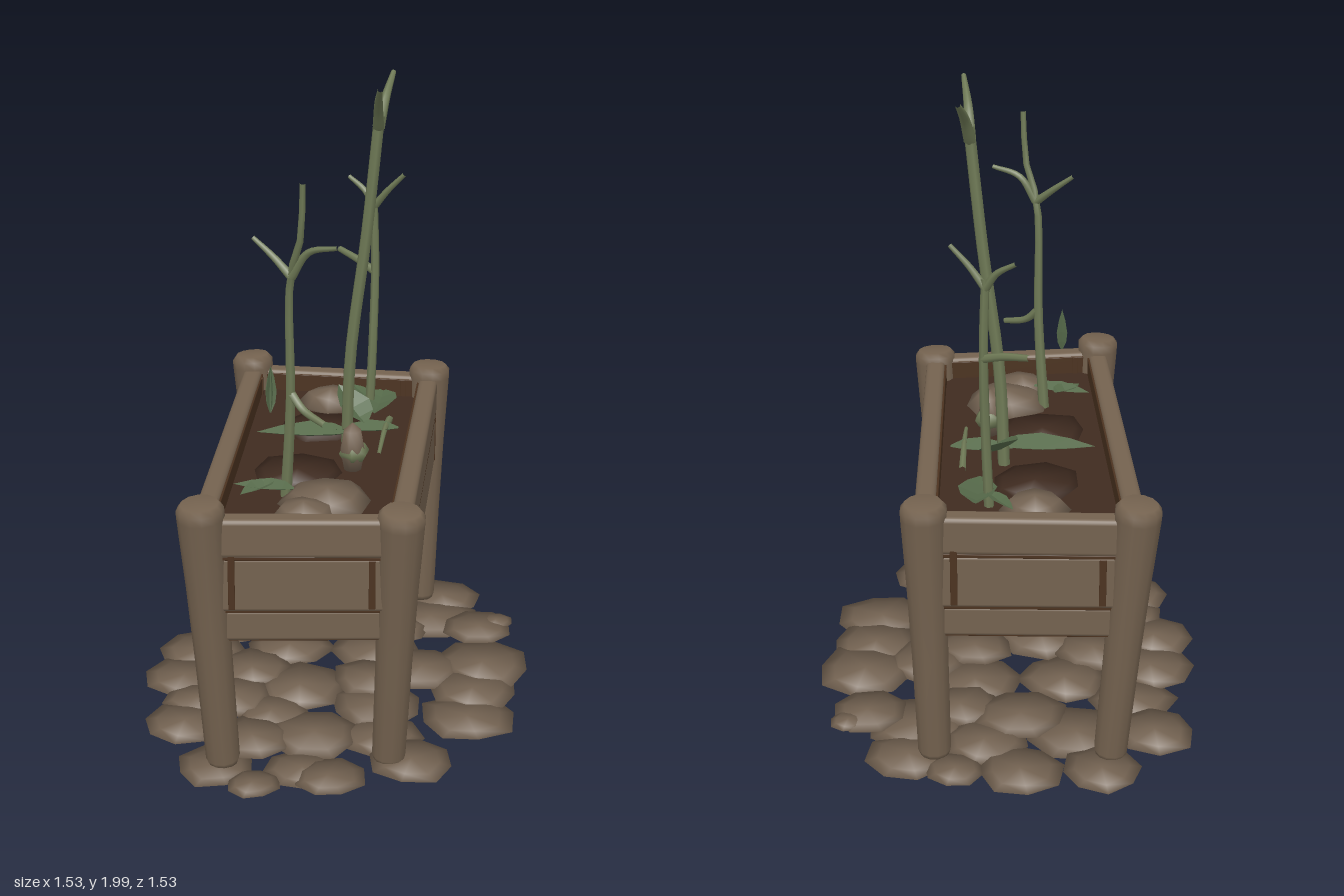
import * as THREE from 'three';
import { RoundedBoxGeometry } from 'three/addons/geometries/RoundedBoxGeometry.js';

const V = (x, y, z) => new THREE.Vector3(x, y, z);
const mat = (name, color, side = THREE.FrontSide) => {
  const m = new THREE.MeshStandardMaterial({ color, side });
  m.name = name;
  return m;
};

export function createModel() {
  const model = new THREE.Group();
  const wood = mat('weathered wood', 0x74624f);
  const stone = mat('stone', 0x746352);
  const bark = mat('dark wood edge', 0x4c3320);
  const soilMat = mat('soil', 0x3f2b20);
  const stemMat = mat('stem green', 0x6f7a56);
  const leafMat = mat('leaf green', 0x566a4a, THREE.DoubleSide);

  const add = (name, geometry, material, parent = model) => {
    const mesh = new THREE.Mesh(geometry, material);
    mesh.name = name;
    parent.add(mesh);
    return mesh;
  };
  const group = (name) => {
    const g = new THREE.Group();
    g.name = name;
    model.add(g);
    return g;
  };
  let seed = 7;
  const rand = () => (seed = (seed * 16807) % 2147483647) / 2147483647;

  // Corner posts, leaning outwards: back, right, front, left
  const posts = [
    [V(-0.22, 0.02, -0.575), V(-0.23, 0.9, -0.61)],
    [V(-0.605, 0.02, -0.19), V(-0.68, 0.905, -0.17)],
    [V(0.285, 0.02, 0.62), V(0.305, 0.905, 0.695)],
    [V(0.575, 0.02, 0.205), V(0.66, 0.885, 0.235)],
  ];
  const corner = (i, y) => {
    const [a, b] = posts[i % 4];
    return a.clone().lerp(b, (y - a.y) / (b.y - a.y));
  };
  const postGroup = group('posts');
  const postProfile = [[0, 0], [0.046, 0], [0.052, 0.02], [0.056, 0.4], [0.062, 0.7], [0.07, 0.95], [0.07, 0.98], [0.056, 1], [0, 1]];
  for (const [a, b] of posts) {
    const h = a.distanceTo(b);
    const g = new THREE.LatheGeometry(postProfile.map(([r, t]) => new THREE.Vector2(r, t * h)), 12);
    const post = add('post', g, wood, postGroup);
    post.position.copy(a);
    post.quaternion.setFromUnitVectors(V(0, 1, 0), b.clone().sub(a).normalize());
  }

  // Boards between neighbouring posts, from fraction t0 to t1, shifted inwards by inset
  const plankGroup = group('planks');
  const board = (name, i, y0, y1, thick, material, { round = 0.002, t0 = 0, t1 = 1, inset = 0, tilt = 0 } = {}) => {
    const y = (y0 + y1) / 2, a = corner(i, y), b = corner(i + 1, y);
    const inward = V(b.z - a.z, 0, a.x - b.x).normalize();
    const g = new RoundedBoxGeometry(a.distanceTo(b) * (t1 - t0), y1 - y0, thick, 2, round);
    const mesh = add(name, g, material, plankGroup);
    mesh.position.copy(a).lerp(b, (t0 + t1) / 2).addScaledVector(inward, inset);
    mesh.rotation.y = -Math.atan2(b.z - a.z, b.x - a.x);
    mesh.rotation.z = tilt;
  };
  for (let i = 0; i < 4; i++) {
    const isEnd = i % 2 === 0;
    const bottom = isEnd ? 0.46 : 0.562;
    const t = isEnd ? 0.12 : 0.058, w = isEnd ? 0.035 : 0.014;
    const tilt = () => (rand() - 0.5) * 0.008;
    board('upperPlank', i, 0.74, 0.862, 0.064, wood, { round: 0.016, tilt: tilt() });
    board('middlePlank', i, 0.565, 0.738, 0.066, wood, { round: 0.012, tilt: tilt() });
    board('gapStrip', i, 0.733, 0.745, 0.064, bark);
    // The short ends hang one plank lower
    if (isEnd) {
      board('lowerPlank', i, 0.462, 0.562, 0.056, wood, { round: 0.012 });
      board('lowerGapStrip', i, 0.557, 0.572, 0.06, bark);
    }
    // Dark bark along the bottom, the plank ends and the inner rim
    board('bottomEdge', i, bottom, bottom + 0.01, isEnd ? 0.05 : 0.064, bark);
    board('plankEnd', i, 0.575, 0.85, 0.07, bark, { t0: t, t1: t + w });
    board('plankEnd', i, 0.575, 0.73, 0.07, bark, { t0: 1 - t - w, t1: 1 - t });
    board('innerRim', i, 0.78, 0.85, 0.008, bark, { inset: 0.034 });
  }

  // Floor board and soil fill the frame
  const slab = (name, top, depth, material) => {
    const shape = new THREE.Shape(posts.map((_, i) => {
      const p = corner(i, top);
      return new THREE.Vector2(p.x * 0.98, p.z * 0.98);
    }));
    const g = new THREE.ExtrudeGeometry(shape, { depth, bevelEnabled: false });
    g.rotateX(Math.PI / 2).translate(0, top, 0);
    add(name, g, material);
  };
  slab('floorBoard', 0.61, 0.042, wood);
  slab('soil', 0.79, 0.18, soilMat);

  // Low-poly pebble with an uneven outline
  const pebble = (name, x, y, z, r, h, material, parent, sides = 8) => {
    const g = new THREE.SphereGeometry(1, sides, 4);
    const wobble = Array.from({ length: sides }, () => 0.92 + rand() * 0.2);
    wobble.push(wobble[0]);
    const p = g.attributes.position;
    for (let i = 0; i < p.count; i++) {
      const w = wobble[i % (sides + 1)] * r;
      p.setXYZ(i, p.getX(i) * w, p.getY(i) * h, p.getZ(i) * w);
    }
    const m = add(name, g, material, parent);
    m.position.set(x, y, z);
    m.rotation.y = rand() * 6;
    return m;
  };

  // Paving of flat stones: outer ring first, then the stones under the planter
  const paving = group('paving');
  [[-0.17, -0.64, 0.13], [-0.47, -0.45, 0.13], [-0.645, -0.27, 0.12], [-0.62, 0, 0.13], [-0.44, 0.09, 0.14],
    [-0.35, 0.28, 0.15], [-0.23, 0.43, 0.13], [0.02, 0.59, 0.13], [0.29, 0.65, 0.12], [0.44, 0.62, 0.08],
    [0.55, 0.42, 0.11], [0.63, 0.16, 0.13], [0.53, -0.15, 0.15], [0.41, -0.28, 0.15], [0.3, -0.42, 0.16],
    [0.1, -0.58, 0.12], [-0.07, -0.5, 0.16], [-0.33, -0.59, 0.09], [0.2, -0.24, 0.14], [0.1, -0.66, 0.06],
    [-0.2, 0.02, 0.15], [0.05, 0.16, 0.15], [0.32, 0.3, 0.15], [-0.26, -0.24, 0.15], [0, -0.2, 0.15],
    [0.3, 0.03, 0.15], [-0.03, 0.37, 0.14], [0.22, 0.47, 0.13], [-0.45, -0.18, 0.15], [-0.28, -0.42, 0.13],
    [-0.14, 0.22, 0.13], [0.15, -0.06, 0.13], [0.45, 0.14, 0.13], [0.13, 0.33, 0.12], [-0.08, -0.34, 0.13],
    [-0.08, 0.48, 0.11], [0.46, 0.45, 0.11],
  ].forEach(([x, z, r], i) => pebble('pavingStone', x, 0.013 + (i % 4) * 0.002, z, r, 0.009, stone, paving));

  // Mounds and rocks lying on the soil
  const bed = group('soilBed');
  [[-0.2, -0.12, 0.16], [0.06, 0.17, 0.16]]
    .forEach(([x, z, r]) => pebble('soilMound', x, 0.786, z, r, 0.014, soilMat, bed));
  pebble('rock', -0.35, 0.8, -0.27, 0.1, 0.05, stone, bed);
  pebble('rock', 0.31, 0.79, 0.24, 0.14, 0.05, stone, bed);
  pebble('rock', 0.35, 0.79, 0.36, 0.1, 0.05, stone, bed);
  pebble('uprightStone', 0.155, 0.86, 0.025, 0.04, 0.09, stone, bed);

  // Tapered stem swept along a curve
  const plants = group('plants');
  const stem = (name, pts, r0, r1) => {
    const curve = new THREE.CatmullRomCurve3(pts.map((p) => V(...p)));
    const n = 12, sides = 6;
    const g = new THREE.TubeGeometry(curve, n, 1, sides, false);
    const p = g.attributes.position;
    for (let i = 0; i < p.count; i++) {
      const t = Math.floor(i / (sides + 1)) / n, c = curve.getPointAt(t);
      const v = V(0, 0, 0).fromBufferAttribute(p, i).sub(c).multiplyScalar(r0 + (r1 - r0) * t).add(c);
      p.setXYZ(i, v.x, v.y, v.z);
    }
    add(name, g, stemMat, plants);
  };
  // Tall middle plant
  stem('tallStem', [[-0.04, 0.76, -0.1], [-0.02, 1.1, -0.1], [0.02, 1.5, -0.13], [0.055, 1.88, -0.15]], 0.02, 0.018);
  stem('tallFork', [[0.05, 1.84, -0.15], [0.02, 1.92, -0.2], [-0.04, 1.985, -0.28]], 0.02, 0.008);
  stem('tallFork', [[0.05, 1.84, -0.15], [0.1, 1.92, -0.11], [0.195, 1.992, -0.04]], 0.02, 0.008);
  // Plant at the back
  stem('backStem', [[-0.22, 0.76, -0.335], [-0.215, 1.05, -0.345], [-0.225, 1.3, -0.36], [-0.235, 1.53, -0.36]], 0.016, 0.013);
  stem('backTwig', [[-0.235, 1.5, -0.36], [-0.27, 1.55, -0.35], [-0.33, 1.59, -0.33]], 0.013, 0.007);
  stem('backTwig', [[-0.235, 1.5, -0.36], [-0.19, 1.56, -0.38], [-0.14, 1.62, -0.41]], 0.013, 0.007);
  stem('backTwig', [[-0.225, 1.28, -0.36], [-0.3, 1.305, -0.35], [-0.395, 1.325, -0.34]], 0.014, 0.01);
  // Plant at the front
  stem('frontStem', [[0.19, 0.76, 0.31], [0.22, 1.1, 0.31], [0.245, 1.5, 0.325], [0.295, 1.62, 0.325], [0.315, 1.79, 0.33]], 0.019, 0.009);
  stem('frontTwig', [[0.25, 1.5, 0.325], [0.19, 1.55, 0.345], [0.13, 1.6, 0.375]], 0.014, 0.007);
  stem('frontTwig', [[0.25, 1.5, 0.325], [0.3, 1.58, 0.3], [0.385, 1.605, 0.26]], 0.014, 0.007);
  stem('frontTwig', [[0.225, 1.13, 0.31], [0.27, 1.09, 0.3], [0.355, 1.065, 0.285]], 0.014, 0.01);
  // Low runner over the soil
  stem('runner', [[-0.04, 0.83, -0.28], [0.06, 0.85, -0.18], [0.18, 0.83, -0.06]], 0.012, 0.006);

  // Folded, pointed leaf laid from base to tip, spreading across the given normal
  const leaf = (base, tip, width, normal = V(0, 1, 0)) => {
    const a = V(...base), b = V(...tip), d = b.clone().sub(a);
    const side = d.clone().cross(normal).normalize();
    const up = side.clone().cross(d).normalize();
    const rows = [0, 0.2, 0.45, 0.75, 1], half = [0.15, 0.8, 1, 0.6, 0];
    const pos = [], idx = [];
    rows.forEach((t, i) => [-1, 0, 1].forEach((s) => {
      const v = a.clone().addScaledVector(d, t).addScaledVector(side, s * half[i] * width / 2)
        .addScaledVector(up, (s ? 0.12 : -0.1) * half[i] * width);
      pos.push(v.x, v.y, v.z);
    }));
    for (let i = 0; i < 4; i++) for (let j = 0; j < 2; j++) {
      const k = i * 3 + j;
      idx.push(k, k + 1, k + 3, k + 1, k + 4, k + 3);
    }
    const indexed = new THREE.BufferGeometry();
    indexed.setAttribute('position', new THREE.Float32BufferAttribute(pos, 3));
    indexed.setIndex(idx);
    const g = indexed.toNonIndexed();
    g.computeVertexNormals();
    add('leaf', g, leafMat, plants);
  };
  leaf([0.0, 0.84, -0.09], [-0.21, 0.83, 0.14], 0.13);
  leaf([0.08, 0.85, -0.22], [-0.06, 0.84, -0.06], 0.1);
  leaf([-0.02, 0.85, -0.165], [-0.17, 0.94, -0.165], 0.12);
  leaf([-0.25, 0.84, -0.42], [-0.11, 0.83, -0.27], 0.12);
  leaf([-0.22, 0.84, -0.34], [-0.36, 0.84, -0.37], 0.05);
  leaf([0.26, 0.84, 0.33], [0.1, 0.83, 0.44], 0.09);
  leaf([0.17, 0.84, 0.34], [0.18, 0.83, 0.47], 0.07);
  // Upright leaf made of two crossed blades
  leaf([0.1, 1.03, 0.3], [0.09, 1.175, 0.29], 0.04, V(0, 0, 1));
  leaf([0.1, 1.03, 0.3], [0.09, 1.175, 0.29], 0.04, V(1, 0, 0));
  pebble('bud', 0.155, 0.85, 0.02, 0.048, 0.035, stemMat, plants, 6);

  return model;
}
